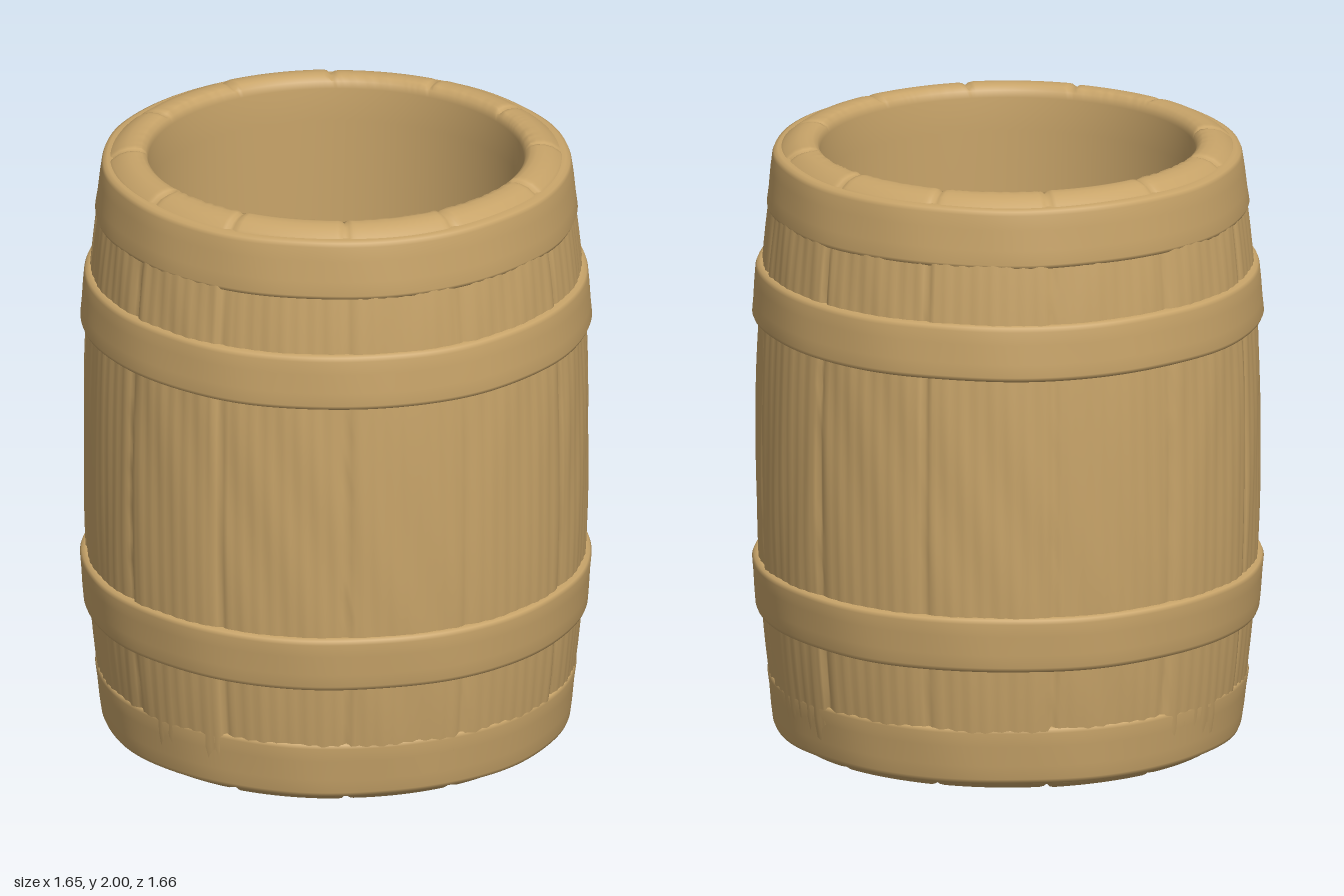
import * as THREE from 'three';
import { mergeVertices } from 'three/addons/utils/BufferGeometryUtils.js';

const SEGMENTS = 360;
// Angles of the joints between staves, measured from the front
const JOINTS = [-163, -133, -103, -73, -43, -9, 17.5, 48, 77, 109, 139, 168].map(THREE.MathUtils.degToRad);

// Lathe a profile, move every vertex by a rule, then smooth the normals across the seam
function turned(profile, rule) {
  let g = new THREE.LatheGeometry(profile.map(([r, y]) => new THREE.Vector2(r, y)), SEGMENTS);
  g.deleteAttribute('uv');
  g.deleteAttribute('normal');
  g = mergeVertices(g, 1e-5);
  const p = g.attributes.position;
  for (let i = 0; i < p.count; i++) {
    const x = p.getX(i), y = p.getY(i), z = p.getZ(i);
    const r = Math.hypot(x, z), a = Math.atan2(x, z);
    if (r < 0.01) continue;
    const [nr, ny] = rule(r, y, a);
    p.setXYZ(i, x * nr / r, ny, z * nr / r);
  }
  g.computeVertexNormals();
  return g;
}

// Groove depth (0..1) and stave number at an angle
function staveAt(a) {
  let groove = 0, index = 0;
  JOINTS.forEach((j, i) => {
    const d = Math.atan2(Math.sin(a - j), Math.cos(a - j));
    groove = Math.max(groove, Math.exp(-((d / 0.014) ** 2)));
    if (a > j) index = i + 1;
  });
  return { groove, index: index % JOINTS.length };
}

// Grooves, slight stave offsets and wood grain on the outside and on the rims
function carve(r, y, a) {
  const { groove, index } = staveAt(a);
  const outside = r > 0.73 && y > 0.06 && y < 1.94;
  const rim = !outside && r > 0.63 && (y > 1.9 || y < 0.1);
  const offset = 0.003 * Math.sin(index * 2.4);
  if (outside) {
    const drift = 0.05 * Math.sin(y * 2.3 + index);
    const grain = Math.sin((a + drift) * 37 + index) * Math.sin((a - drift) * 61 + y * 0.8);
    return [r + offset - 0.01 * groove + 0.003 * grain, y];
  }
  if (rim) {
    const inward = y > 1 ? -1 : 1;
    return [r, y + inward * (0.012 * groove + 0.0015 * (1 + Math.sin(index * 2.4)))];
  }
  return [r, y];
}

// Bulging outer radius of the staves
const bulge = y => 0.816 - 0.075 * Math.abs(y - 1) ** 2.4;

function bodyProfile() {
  // Shallow recess under the base, then the lower rim
  const pts = [[0, 0.055], [0.55, 0.055], [0.575, 0.052], [0.592, 0.042], [0.602, 0.028],
    [0.61, 0.014], [0.63, 0.004], [0.65, 0], [0.675, 0.002], [0.7, 0.01], [0.72, 0.025]];
  for (let i = 0; i <= 30; i++) {
    const y = 0.05 + i * 1.9 / 30;
    pts.push([bulge(y), y]);
  }
  // Rounded rim, then down the inner wall and through a fillet to the floor
  pts.push([0.725, 1.972], [0.7, 1.99], [0.675, 1.998], [0.65, 2], [0.63, 1.995], [0.615, 1.982], [0.607, 1.96],
    [0.604, 1.85], [0.603, 1.4], [0.602, 0.8], [0.6, 0.24]);
  for (let i = 1; i <= 6; i++) {
    const t = i / 6 * Math.PI / 2;
    pts.push([0.51 + 0.09 * Math.cos(t), 0.24 - 0.1 * Math.sin(t)]);
  }
  pts.push([0.3, 0.14], [0, 0.14]);
  return pts;
}

// Hoop cross-section with softened edges, running from inside bottom to inside top
function hoopProfile(y0, y1, r0, r1) {
  const inner = Math.min(r0, r1) - 0.04, e = 0.018;
  return [[inner, y0], [r0 - e, y0], [r0 - 0.3 * e, y0 + 0.3 * e], [r0, y0 + e],
    [r0 * 0.67 + r1 * 0.33, y0 * 0.67 + y1 * 0.33], [r0 * 0.33 + r1 * 0.67, y0 * 0.33 + y1 * 0.67],
    [r1, y1 - e], [r1 - 0.3 * e, y1 - 0.3 * e], [r1 - e, y1], [inner, y1]];
}

export function createModel() {
  const wood = new THREE.MeshStandardMaterial({ color: 0xc8a469 });
  wood.name = 'tan wood';
  const model = new THREE.Group();
  model.name = 'barrel';

  const add = (name, geometry) => {
    const mesh = new THREE.Mesh(geometry, wood);
    mesh.name = name;
    model.add(mesh);
  };

  add('staves', turned(bodyProfile(), carve));

  // Four hoops: bottom y, top y, bottom radius, top radius
  const hoops = {
    bottomHoop: [0.035, 0.23, 0.758, 0.778],
    lowerHoop: [0.425, 0.61, 0.815, 0.827],
    upperHoop: [1.405, 1.59, 0.827, 0.815],
    topHoop: [1.77, 1.967, 0.78, 0.76],
  };
  Object.entries(hoops).forEach(([name, size], k) => {
    // Slightly uneven, hand-worked surface
    const uneven = (r, y, a) => [
      r + 0.002 * Math.sin(a * 5 + k * 2) * Math.sin(a * 8 + y * 9),
      y + 0.0015 * Math.sin(a * 7 + k),
    ];
    add(name, turned(hoopProfile(...size), uneven));
  });
  return model;
}
